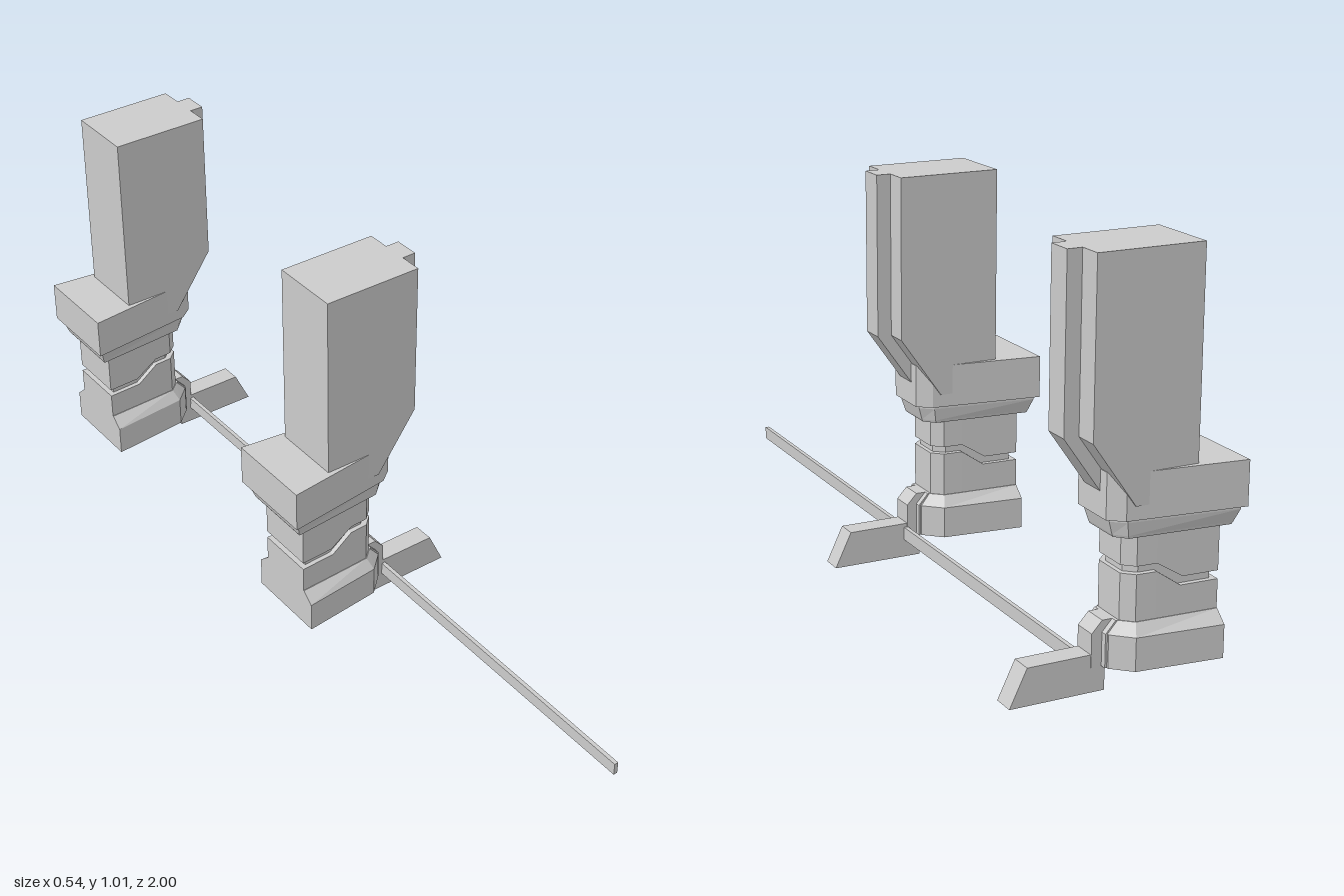
import * as THREE from 'three';

const material = new THREE.MeshStandardMaterial({ color: 0xcccccc, flatShading: true });

// Solid skinned through convex rings, each counter-clockwise seen along the sweep
function loft(rings) {
  const n = rings[0].length, last = rings.length - 1, index = [];
  for (let i = 0; i < last; i++) {
    for (let j = 0; j < n; j++) {
      const k = (j + 1) % n, a = i * n + j, b = i * n + k;
      index.push(a, b, b + n, a, b + n, a + n);
    }
  }
  for (let j = 1; j < n - 1; j++) {
    index.push(0, j + 1, j, last * n, last * n + j, last * n + j + 1);
  }
  const geo = new THREE.BufferGeometry();
  geo.setAttribute('position', new THREE.Float32BufferAttribute(rings.flat(2), 3));
  geo.setIndex(index);
  const flat = geo.toNonIndexed();
  flat.computeVertexNormals();
  return flat;
}

// Layers [y, outline], the outline being [x, half width] from back to front
const stack = (layers) => loft(layers.map(([y, plan]) => [
  ...plan.map(([x, h]) => [x, y, h]),
  ...plan.slice().reverse().map(([x, h]) => [x, y, -h]),
]));

// Stations [x, half width, bottom, top] from back to front
const sweepX = (stations) => loft(stations.map(([x, h, y0, y1]) =>
  [[x, y0, h], [x, y0, -h], [x, y1, -h], [x, y1, h]]));

// Side profile in x and y, given a width in z
function plate(points, half) {
  const shape = new THREE.Shape(points.map(([x, y]) => new THREE.Vector2(x, y)));
  return new THREE.ExtrudeGeometry(shape, { depth: 2 * half, bevelEnabled: false }).translate(0, 0, -half);
}

function createUnit() {
  const unit = new THREE.Group();
  const add = (name, geometry) => {
    const mesh = new THREE.Mesh(geometry, material);
    mesh.name = name;
    unit.add(mesh);
  };

  // Column with a front ridge, both cut back at the bottom
  add('column', plate([[-0.155, 0.445], [0, 0.445], [0.11, 0.6], [0.11, 1.01], [-0.155, 1.01]], 0.093));
  add('columnRidge', plate([[0, 0.445], [0.037, 0.445], [0.147, 0.6], [0.147, 1.01], [0, 1.01]], 0.033));

  // Tapered collar over a bevelled ring
  const collar = [[-0.27, 0.12], [0.02, 0.087], [0.055, 0.06]];
  add('collar', stack([[0.412, collar], [0.52, collar]]));
  add('collarRing', stack([
    [0.367, [[-0.245, 0.095], [0.005, 0.075], [0.03, 0.05]]],
    [0.373, [[-0.248, 0.097], [0.007, 0.076], [0.033, 0.05]]],
    [0.405, [[-0.258, 0.11], [0.012, 0.08], [0.043, 0.054]]],
    [0.413, [[-0.258, 0.11], [0.012, 0.08], [0.043, 0.054]]],
  ]));

  // Neck split by a stepped groove around a slimmer core
  add('upperNeck', sweepX([
    [-0.225, 0.08, 0.257, 0.37], [-0.135, 0.076, 0.257, 0.37], [-0.07, 0.073, 0.297, 0.37],
    [-0.02, 0.07, 0.297, 0.37], [0.007, 0.045, 0.297, 0.37],
  ]));
  add('lowerNeck', sweepX([
    [-0.225, 0.08, 0.15, 0.237], [-0.13, 0.076, 0.15, 0.237], [-0.07, 0.073, 0.278, 0.278].map((v, i) => (i === 2 ? 0.15 : v)),
    [-0.02, 0.07, 0.15, 0.278], [0.007, 0.045, 0.15, 0.278],
  ]));
  const core = [[-0.21, 0.067], [-0.03, 0.058], [-0.004, 0.035]];
  add('neckCore', stack([[0.15, core], [0.37, core]]));

  // Base with sloping shoulders, and its stepped nose
  const base = [[-0.225, 0.113], [-0.01, 0.092], [0.035, 0.05]];
  add('base', stack([
    [0.06, base], [0.14, base],
    [0.168, [[-0.225, 0.082], [-0.02, 0.072], [0.01, 0.045]]],
  ]));
  add('noseStep', plate([[-0.02, 0.06], [0.04, 0.06], [0.04, 0.14], [0.015, 0.168], [-0.02, 0.168]], 0.045));
  add('nose', plate([[-0.02, 0.06], [0.066, 0.06], [0.066, 0.14], [0.04, 0.168], [-0.02, 0.168]], 0.03));

  // Foot with a sloping toe
  add('foot', plate([[0.03, 0], [0.268, 0], [0.225, 0.09], [0.03, 0.09]], 0.028));
  return unit;
}

export function createModel() {
  const model = new THREE.Group();
  [['frontLeg', 0.06], ['rearLeg', -0.877]].forEach(([name, z]) => {
    const unit = createUnit();
    unit.name = name;
    unit.position.z = z;
    model.add(unit);
  });

  // Long bar passing through both feet
  const bar = new THREE.Mesh(new THREE.BoxGeometry(0.011, 0.034, 1.877), material);
  bar.name = 'connectingBar';
  bar.position.set(0.069, 0.063, 0.0615);
  model.add(bar);
  return model;
}
